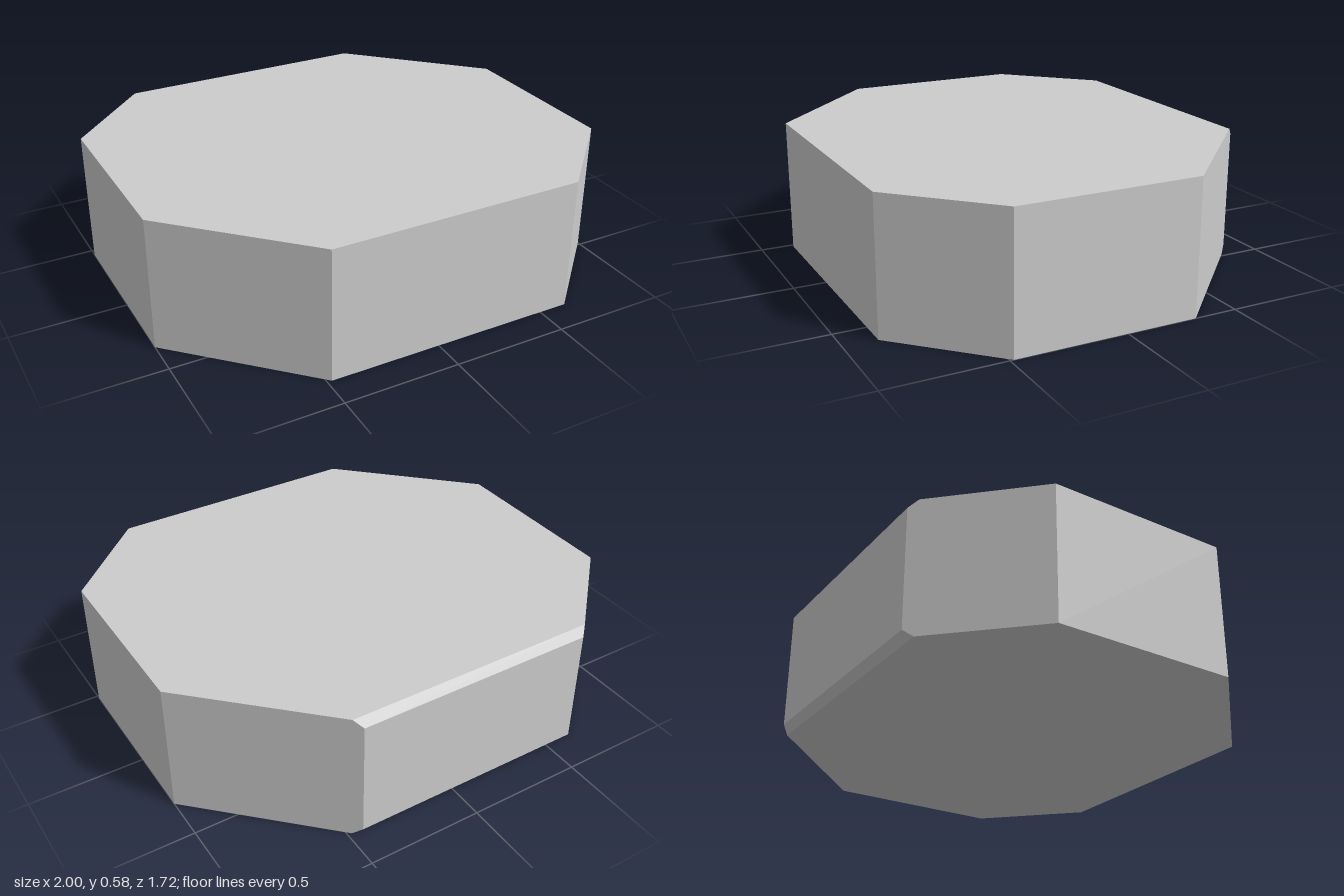
import * as THREE from 'three';
import { ConvexGeometry } from 'three/addons/geometries/ConvexGeometry.js';

const HEIGHT = 0.58;
const BACK = -0.86;
const BEVEL = 0.032;

// Uneven octagon outline (x, z); the back edge moves in by `inset` along the 45 degree corners
function outline(y, inset) {
  return [
    [-0.6 - inset, BACK + inset], [0.45 + inset, BACK + inset],
    [1, -0.31], [1, 0.485],
    [0.625, 0.86], [-0.48, 0.86],
    [-1, 0.34], [-1, -0.46],
  ].map(([x, z]) => new THREE.Vector3(x, y, z));
}

export function createModel() {
  const group = new THREE.Group();
  group.name = 'octagonalBlock';

  // Solid slab: top and bottom outlines, plus the full-depth back edge between the two bevels
  const points = [
    ...outline(0, BEVEL),
    ...outline(BEVEL, 0).slice(0, 2),
    ...outline(HEIGHT - BEVEL, 0).slice(0, 2),
    ...outline(HEIGHT, BEVEL),
  ];
  const slab = new THREE.Mesh(
    new ConvexGeometry(points),
    new THREE.MeshStandardMaterial({ color: 0xcccccc, flatShading: true }),
  );
  slab.name = 'slab';
  group.add(slab);
  return group;
}
